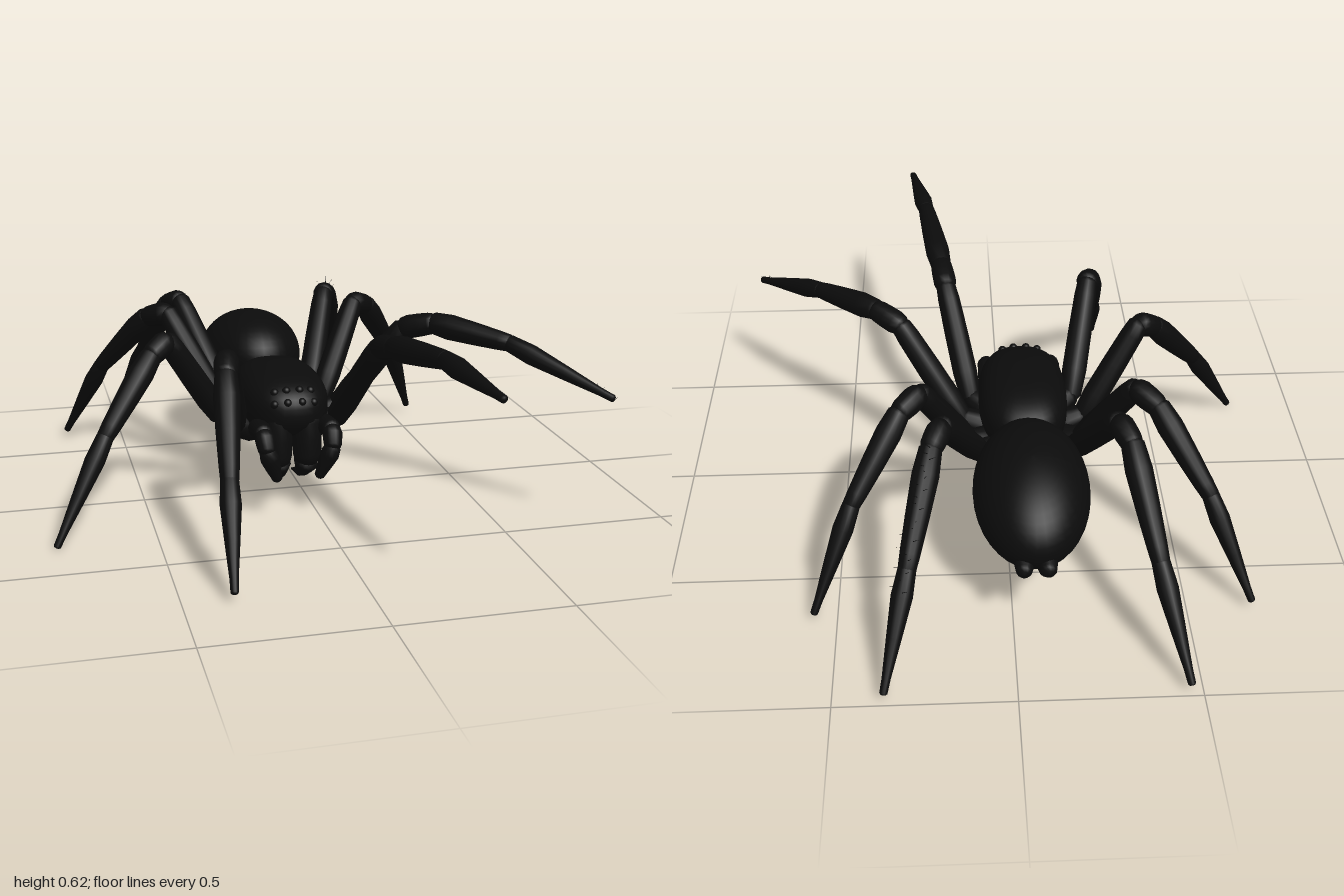
import * as THREE from 'three';

const black = new THREE.MeshStandardMaterial({ color: 0x0b0b0b, roughness: 0.9 });
const UP = new THREE.Vector3(0, 1, 0);
const MID = -0.06; // x of the body's centre line

function add(parent, geometry, name) {
  const mesh = new THREE.Mesh(geometry, black);
  mesh.name = name;
  parent.add(mesh);
  return mesh;
}

// Tapered segment with rounded ends and a slight swelling, from a to b
function segment(parent, name, a, b, r0, r1, swell = 1.08) {
  const dir = b.clone().sub(a), len = dir.length();
  const e0 = r0 * 0.45, e1 = r1 * 0.45;
  const profile = [
    [0, -e0], [r0 * 0.6, -e0 * 0.8], [r0 * 0.92, 0], [r0 * swell, len * 0.22],
    [(r0 + r1) * 0.5 * swell, len * 0.55], [r1 * 1.03, len * 0.88],
    [r1 * 0.92, len], [r1 * 0.6, len + e1 * 0.8], [0, len + e1],
  ].map(([x, y]) => new THREE.Vector2(x, y));
  const mesh = add(parent, new THREE.LatheGeometry(profile, 14), name);
  mesh.position.copy(a);
  mesh.quaternion.setFromUnitVectors(UP, dir.normalize());
  return mesh;
}

// Chain of segments through joint points
function limb(parent, name, points, radii, names) {
  const group = new THREE.Group();
  group.name = name;
  const p = points.map((q) => new THREE.Vector3(...q));
  for (let i = 0; i < p.length - 1; i++) {
    segment(group, names[i], p[i], p[i + 1], radii[i][0], radii[i][1]);
  }
  parent.add(group);
  return group;
}

function ellipsoid(parent, name, pos, size, power = 1) {
  const g = new THREE.SphereGeometry(1, 36, 24);
  const p = g.attributes.position;
  const shape = (v) => Math.sign(v) * Math.abs(v) ** power;
  for (let i = 0; i < p.count; i++) {
    p.setXYZ(i, shape(p.getX(i)) * size[0], shape(p.getY(i)) * size[1], shape(p.getZ(i)) * size[2]);
  }
  g.computeVertexNormals();
  const mesh = add(parent, g, name);
  mesh.position.set(...pos);
  return mesh;
}

// Short bristles fanned along the upper side of a leg segment
function bristles(parent, a, b, count, length) {
  const from = new THREE.Vector3(...a), to = new THREE.Vector3(...b);
  const along = to.clone().sub(from).normalize();
  for (let i = 0; i < count; i++) {
    const base = from.clone().lerp(to, i / (count - 1));
    const dir = new THREE.Vector3(Math.sin(i * 2.4) * 0.5, 1, 0).addScaledVector(along, 0.7).normalize();
    const mesh = add(parent, new THREE.ConeGeometry(0.0018, length, 4), 'bristle');
    mesh.quaternion.setFromUnitVectors(UP, dir);
    mesh.position.copy(base).addScaledVector(dir, length / 2);
  }
}

// Joints of each leg: hip, coxa end, knee, patella end, ankle, tip
const LEGS = {
  frontLeftLeg: [[0.03, 0.22, 0.02], [0.1, 0.25, 0.06], [0.17, 0.53, 0.28], [0.185, 0.555, 0.38], [0.232, 0.598, 0.68], [0.28, 0.578, 0.98]],
  secondLeftLeg: [[0.04, 0.22, -0.06], [0.13, 0.25, -0.05], [0.31, 0.525, 0.06], [0.39, 0.55, 0.12], [0.57, 0.52, 0.29], [0.79, 0.41, 0.55]],
  thirdLeftLeg: [[0.03, 0.22, -0.12], [0.11, 0.25, -0.17], [0.25, 0.525, -0.3], [0.31, 0.5, -0.36], [0.45, 0.3, -0.52], [0.565, 0.03, -0.67]],
  backLeftLeg: [[0.01, 0.22, -0.17], [0.08, 0.25, -0.22], [0.19, 0.525, -0.46], [0.22, 0.5, -0.53], [0.29, 0.28, -0.77], [0.36, 0.03, -0.98]],
  frontRightLeg: [[-0.15, 0.22, 0.02], [-0.22, 0.25, 0.06], [-0.285, 0.53, 0.29], [-0.3, 0.5, 0.36], [-0.335, 0.27, 0.58], [-0.363, 0.035, 0.78]],
  secondRightLeg: [[-0.16, 0.22, -0.06], [-0.25, 0.25, -0.05], [-0.42, 0.525, 0.04], [-0.475, 0.49, 0.08], [-0.63, 0.29, 0.2], [-0.79, 0.012, 0.32]],
  thirdRightLeg: [[-0.15, 0.22, -0.12], [-0.23, 0.25, -0.17], [-0.37, 0.525, -0.3], [-0.43, 0.5, -0.36], [-0.57, 0.3, -0.52], [-0.687, 0.03, -0.67]],
  backRightLeg: [[-0.13, 0.22, -0.17], [-0.2, 0.25, -0.22], [-0.305, 0.525, -0.46], [-0.335, 0.5, -0.53], [-0.395, 0.28, -0.77], [-0.467, 0.03, -0.98]],
};
const LEG_RADII = [[0.04, 0.035], [0.036, 0.034], [0.034, 0.033], [0.036, 0.028], [0.028, 0.012]];
const LEG_PARTS = ['coxa', 'femur', 'patella', 'tibia', 'foot'];

export function createModel() {
  const spider = new THREE.Group();
  spider.name = 'spider';

  // Body: abdomen drooping to the rear, squarish head-thorax, waist and breastplate
  ellipsoid(spider, 'abdomen', [MID, 0.32, -0.505], [0.167, 0.148, 0.255]).rotation.x = -0.15;
  ellipsoid(spider, 'headThorax', [MID, 0.305, -0.03], [0.137, 0.105, 0.225], 0.8);
  ellipsoid(spider, 'waist', [MID, 0.29, -0.26], [0.05, 0.045, 0.06]);
  ellipsoid(spider, 'breastplate', [MID, 0.22, -0.07], [0.1, 0.05, 0.15]);

  // Legs
  for (const [name, points] of Object.entries(LEGS)) limb(spider, name, points, LEG_RADII, LEG_PARTS);
  bristles(spider, [0.22, 0.52, -0.55], [0.31, 0.24, -0.82], 24, 0.06);
  bristles(spider, [0.75, 0.43, 0.5], [0.79, 0.4, 0.55], 5, 0.025);

  for (const s of [-1, 1]) {
    const x = (d) => MID + s * d;
    const side = s > 0 ? 'left' : 'right';
    // Jaws with fangs curving backwards
    limb(spider, side + 'Jaw', [[x(0.045), 0.31, 0.14], [x(0.046), 0.15, 0.145], [x(0.035), 0.105, 0.125], [x(0.015), 0.095, 0.07]],
      [[0.042, 0.042], [0.036, 0.022], [0.016, 0.004]], ['jaw', 'fangBase', 'fang']);
    // Feelers, hooked downwards and inwards
    limb(spider, side + 'Feeler', [[x(0.06), 0.22, 0.04], [x(0.1), 0.25, 0.1], [x(0.105), 0.27, 0.22], [x(0.1), 0.22, 0.25], [x(0.065), 0.125, 0.225]],
      [[0.034, 0.03], [0.03, 0.028], [0.028, 0.026], [0.027, 0.017]], ['feelerBase', 'feelerUpper', 'feelerJoint', 'feelerTip']);
    // Spinnerets
    segment(spider, side + 'Spinneret', new THREE.Vector3(x(0.03), 0.26, -0.69),
      new THREE.Vector3(x(0.034), 0.25, -0.765), 0.03, 0.023);
    segment(spider, side + 'LowerSpinneret', new THREE.Vector3(x(0.025), 0.23, -0.68),
      new THREE.Vector3(x(0.028), 0.215, -0.73), 0.024, 0.018);
    // Eyes
    for (const [d, y, z] of [[0.02, 0.375, 0.15], [0.055, 0.37, 0.145], [0.022, 0.345, 0.178], [0.06, 0.34, 0.17]]) {
      ellipsoid(spider, side + 'Eye', [x(d), y, z], [0.013, 0.013, 0.013]);
    }
  }
  return spider;
}
